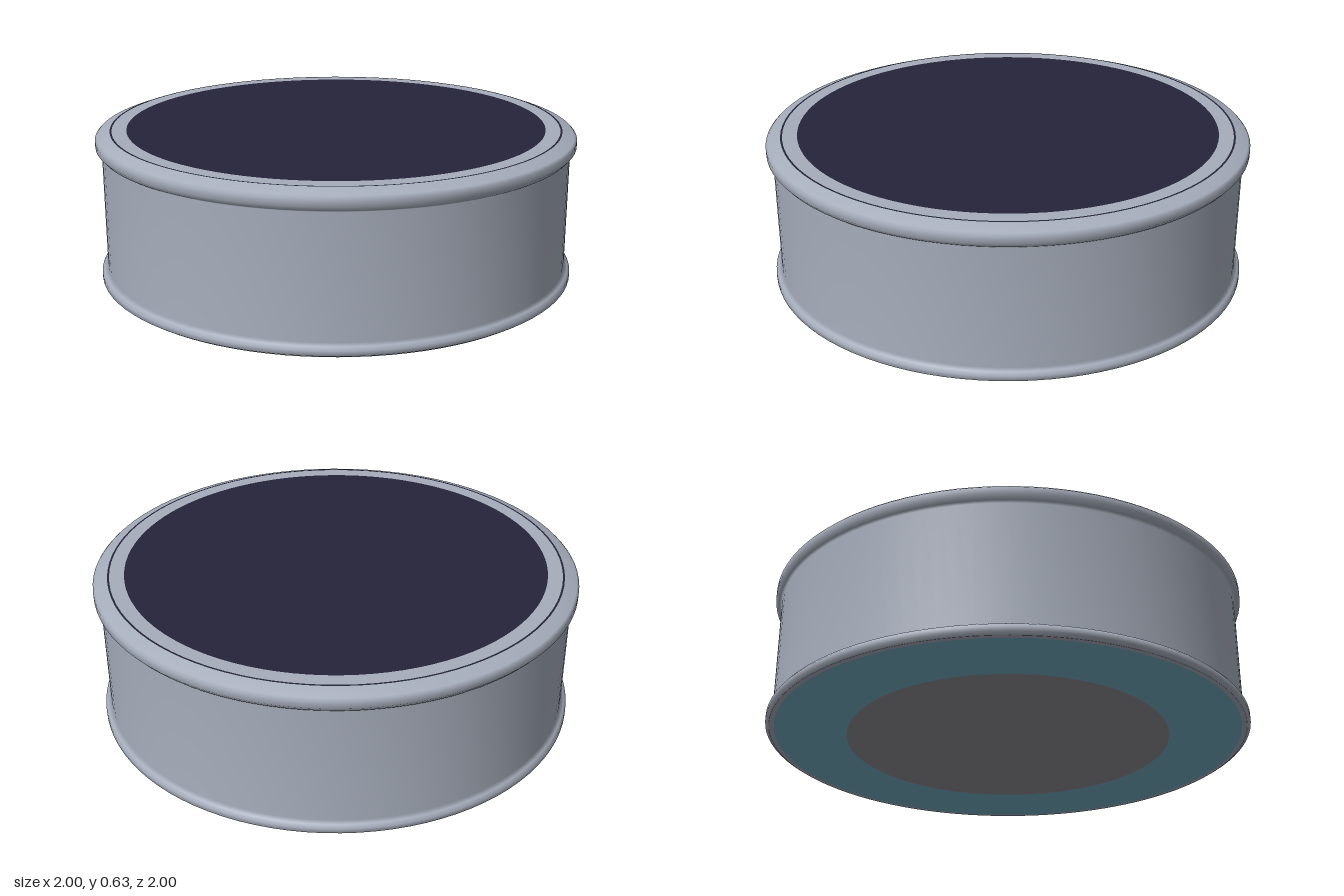
import * as THREE from 'three';

const mat = (name, color, extra = {}) => {
  const m = new THREE.MeshStandardMaterial({ color, ...extra });
  m.name = name;
  return m;
};

export function createModel() {
  const group = new THREE.Group();
  const metal = mat('brushed grey', 0xa6adbb);
  const dark = mat('dark navy', 0x25243a);
  const teal = mat('teal', 0x73aec2);
  const grey = mat('neutral grey', 0x8e8e95);
  const SEG = 96;

  const add = (name, geometry, material, y = 0) => {
    const mesh = new THREE.Mesh(geometry, material);
    mesh.name = name;
    mesh.position.y = y;
    group.add(mesh);
    return mesh;
  };
  // Flat ring or disc, facing up (or down when dir = -1)
  const flat = (name, inner, outer, y, material, dir = 1) => {
    const g = inner > 0 ? new THREE.RingGeometry(inner, outer, SEG) : new THREE.CircleGeometry(outer, SEG);
    g.rotateX(-dir * Math.PI / 2);
    return add(name, g, material, y);
  };
  const lathe = (name, points, material) =>
    add(name, new THREE.LatheGeometry(points.map(([r, y]) => new THREE.Vector2(r, y)), SEG), material);

  // Drum wall with a flared foot and a rolled upper lip
  lathe('body', [
    [0.985, 0], [1, 0.01], [1, 0.03], [0.99, 0.043], [0.975, 0.052],
    [0.975, 0.545], [0.985, 0.552], [1, 0.57], [1, 0.598], [0.99, 0.608], [0.94, 0.626],
  ], metal);

  // Top: fine seam, flat bezel and dark inset face
  flat('seam', 0.932, 0.94, 0.626, dark);
  flat('bezel', 0.872, 0.932, 0.626, metal);
  flat('face', 0, 0.872, 0.626, dark);

  // Underside: thin rim, teal base ring and central pad
  flat('footRim', 0.965, 0.985, 0, metal, -1);
  flat('baseRing', 0.67, 0.965, 0, teal, -1);
  flat('basePad', 0, 0.67, 0, grey, -1);

  return group;
}
